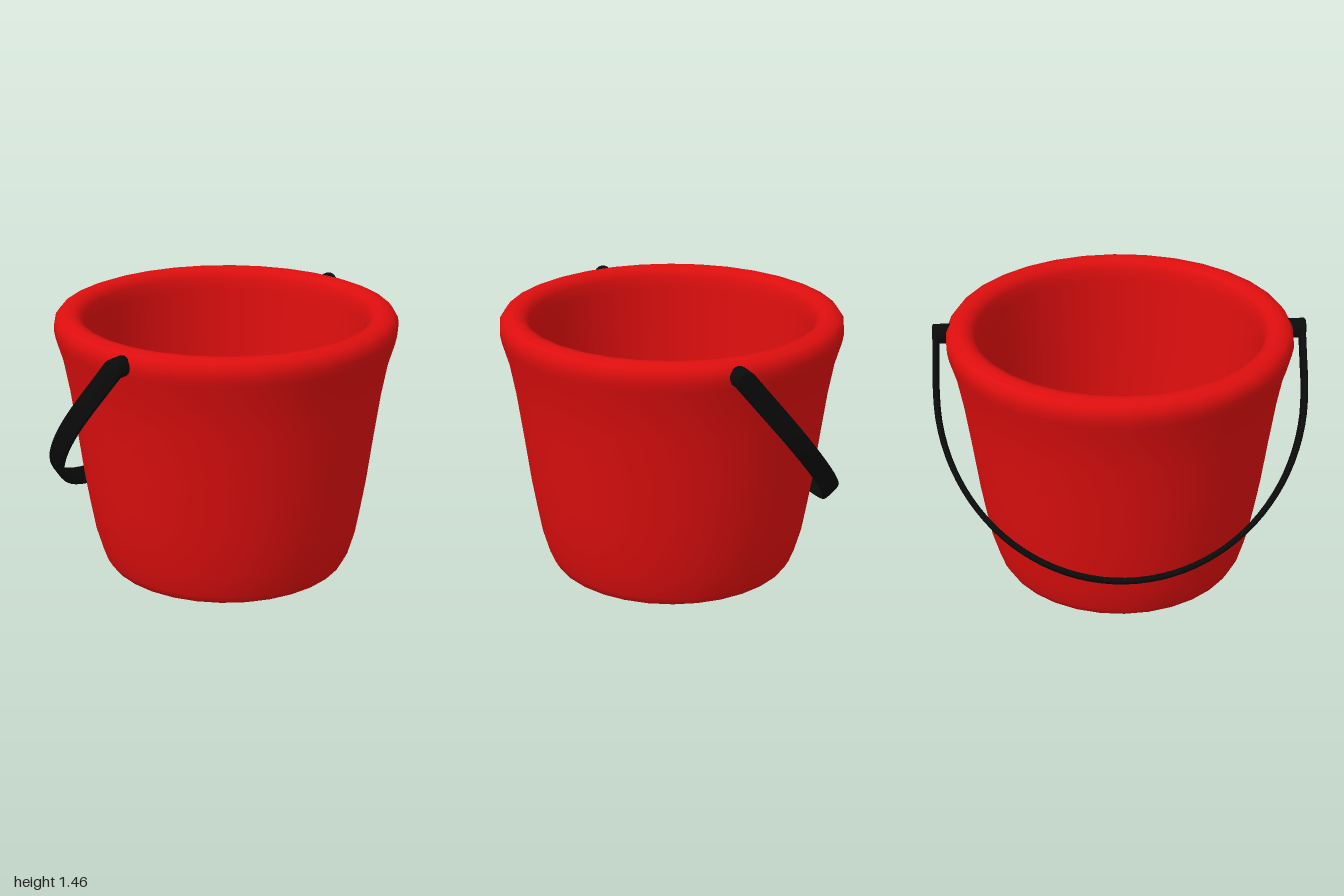
import * as THREE from 'three';
import { ParametricGeometry } from 'three/addons/geometries/ParametricGeometry.js';

const red = new THREE.MeshStandardMaterial({ name: 'red plastic', color: 0xdd0e0e });
const black = new THREE.MeshStandardMaterial({ name: 'black plastic', color: 0x0b0b0b });

function addMesh(parent, name, geometry, material) {
  const mesh = new THREE.Mesh(geometry, material);
  mesh.name = name;
  parent.add(mesh);
  return mesh;
}

// Flat strap swept along a U in the local xz plane; its width runs along y
function strapGeometry(width, thickness) {
  const straight = 0.3, reach = 1.04, side = 0.982;
  const points = [];
  for (const x of [0, 0.1, 0.2]) points.push(new THREE.Vector3(x, 0, side));
  for (let i = 0; i <= 20; i++) {
    const a = (i / 20) * Math.PI;
    points.push(new THREE.Vector3(straight + reach * Math.sin(a), 0, side * Math.cos(a)));
  }
  for (const x of [0.2, 0.1, 0]) points.push(new THREE.Vector3(x, 0, -side));
  const path = new THREE.CatmullRomCurve3(points);
  const soft = (c) => Math.sign(c) * Math.pow(Math.abs(c), 0.45);

  return new ParametricGeometry((u, v, target) => {
    const p = path.getPoint(v), t = path.getTangent(v);
    const a = u * Math.PI * 2;
    const out = soft(Math.cos(a)) * thickness / 2;
    target.set(p.x - t.z * out, -soft(Math.sin(a)) * width / 2, p.z + t.x * out);
  }, 16, 64);
}

export function createModel() {
  const model = new THREE.Group();
  model.name = 'bucket';

  // Outer wall, rolled rim, inner wall and floor in one profile
  const profile = [
    [0, 0], [0.58, 0], [0.635, 0.002], [0.675, 0.02], [0.7, 0.065], [0.738, 0.2],
    [0.765, 0.36], [0.79, 0.52], [0.822, 0.78], [0.855, 1.03], [0.885, 1.2],
    [0.92, 1.32], [0.929, 1.37], [0.925, 1.41], [0.903, 1.44], [0.865, 1.455],
    [0.83, 1.453], [0.795, 1.44], [0.773, 1.405], [0.765, 1.34],
    [0.735, 0.95], [0.695, 0.5], [0.655, 0.22], [0.615, 0.12], [0.53, 0.075], [0, 0.07],
  ].map(([r, y]) => new THREE.Vector2(r, y));
  addMesh(model, 'pail', new THREE.LatheGeometry(profile, 32), red);

  // Lowered handle, hinged near the rim
  const handle = new THREE.Group();
  handle.name = 'handle';
  handle.position.set(0.03, 1.38, 0);
  handle.rotation.z = Math.atan2(-1.035, -0.85);
  addMesh(handle, 'strap', strapGeometry(0.11, 0.032), black);

  // Pivot pegs with softened outer edges
  const pegProfile = [[0, 0], [0.053, 0], [0.053, 0.132], [0.048, 0.139], [0.04, 0.14], [0, 0.14]]
    .map(([r, y]) => new THREE.Vector2(r, y));
  for (const s of [1, -1]) {
    const peg = addMesh(handle, s > 0 ? 'frontPeg' : 'backPeg', new THREE.LatheGeometry(pegProfile, 20), black);
    peg.rotation.x = s * Math.PI / 2;
    peg.position.z = s * 0.86;
  }
  model.add(handle);
  return model;
}
